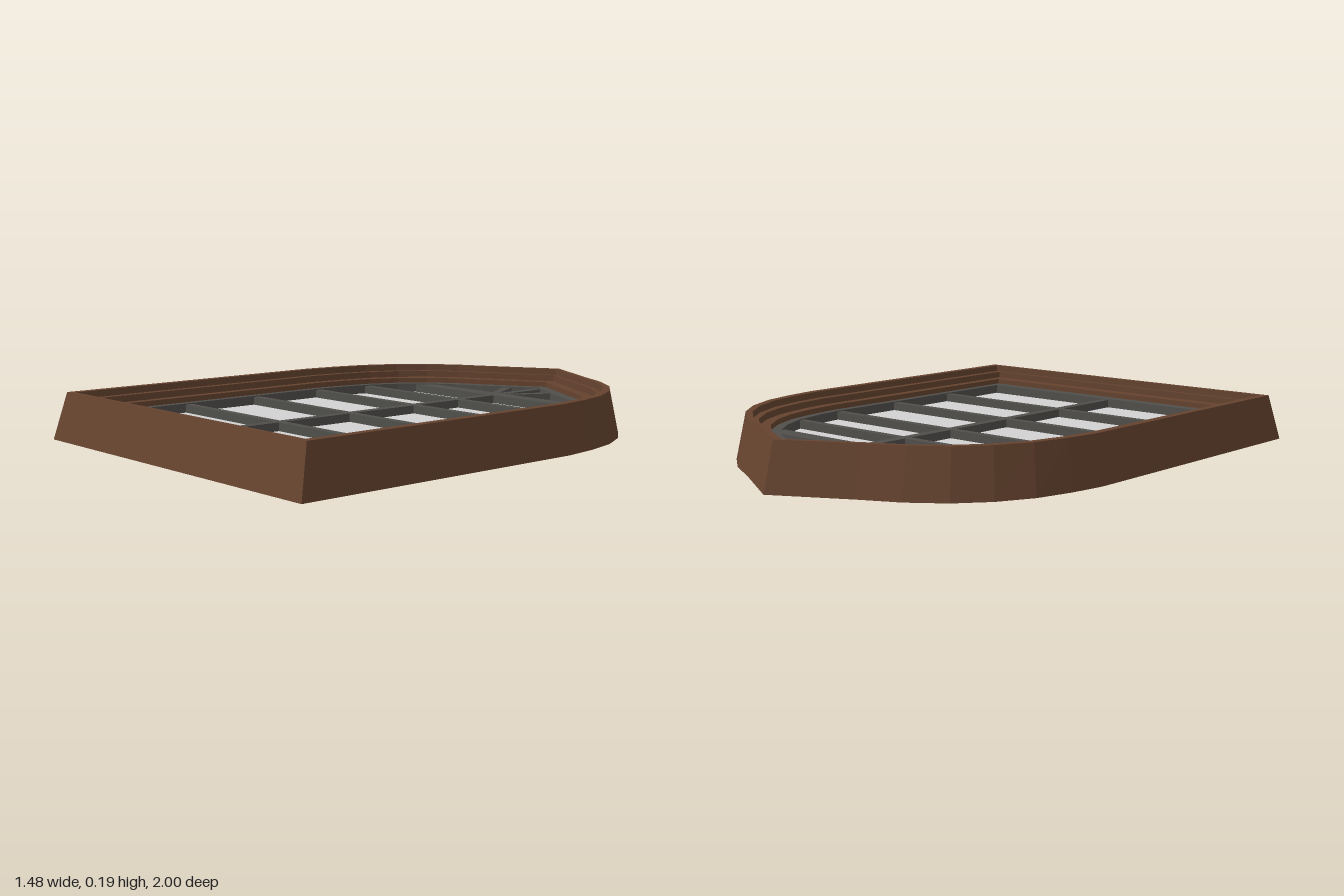
import * as THREE from 'three';

export function createModel() {
  const group = new THREE.Group();
  const material = (name, color) => {
    const m = new THREE.MeshStandardMaterial({ color });
    m.name = name;
    return m;
  };
  const wood = material('brown wood', 0x65432f);
  const metal = material('dark grey bars', 0x504f4b);
  const glass = material('pale glass', 0xd2d2d2);

  const add = (name, geometry, mat) => {
    const mesh = new THREE.Mesh(geometry, mat);
    mesh.name = name;
    group.add(mesh);
  };

  // Pointed arch plan as [x, z], from the tip down one side, then mirrored
  const half = [[0, -1], [0.27, -0.85], [0.41, -0.78], [0.53, -0.69], [0.62, -0.58],
    [0.685, -0.45], [0.72, -0.31], [0.74, -0.17], [0.74, 1]];
  const plan = [...half, ...half.slice(1).reverse().map(([x, z]) => [-x, z])];

  // Faceted bands joining scaled copies of the plan: each ring is [scaleX, scaleZ, y]
  function bands(rings) {
    const pos = [];
    const at = (ring, i) => {
      const [x, z] = plan[i % plan.length];
      return [x * ring[0], ring[2], z * ring[1]];
    };
    for (let r = 0; r < rings.length - 1; r++) {
      const [a, b] = [rings[r], rings[r + 1]];
      for (let i = 0; i < plan.length; i++) {
        if (a[0] > 0) pos.push(...at(a, i), ...at(b, i), ...at(a, i + 1));
        if (b[0] > 0) pos.push(...at(b, i), ...at(b, i + 1), ...at(a, i + 1));
      }
    }
    const g = new THREE.BufferGeometry();
    g.setAttribute('position', new THREE.Float32BufferAttribute(pos, 3));
    g.computeVertexNormals();
    return g;
  }

  // Wooden frame: back plate, sloping outside and stepped inside
  add('woodenFrame', bands([
    [0, 0, 0], [0.878, 0.918, 0], [0.878, 0.918, 0.015], [1, 1, 0.015],
    [0.959, 0.955, 0.19], [0.918, 0.935, 0.19], [0.918, 0.935, 0.165],
    [0.878, 0.918, 0.165], [0.878, 0.918, 0.14], [0.83, 0.87, 0.14], [0.83, 0.87, 0.12],
  ]), wood);

  // Grey sash inside the frame, and the pane below it
  const opening = [0.79, 0.825];
  add('sash', bands([[0.83, 0.87, 0.12], [...opening, 0.12], [...opening, 0.085]]), metal);
  add('glassPane', bands([[0.8, 0.835, 0.085], [0, 0, 0.085]]), glass);

  // Half width of the opening at a given z
  function halfWidth(z) {
    for (let i = 1; i < half.length; i++) {
      const [x0, z0] = half[i - 1], [x1, z1] = half[i];
      const t = (z / opening[1] - z0) / (z1 - z0);
      if (t >= 0 && t <= 1) return (x0 + (x1 - x0) * t) * opening[0];
    }
    return 0;
  }

  // Flat bar with the given [x, z] corners
  function slab(name, corners) {
    const shape = new THREE.Shape(corners.map(([x, z]) => new THREE.Vector2(x, -z)));
    const g = new THREE.ExtrudeGeometry(shape, { depth: 0.031, bevelEnabled: false });
    g.rotateX(-Math.PI / 2).translate(0, 0.085, 0);
    add(name, g, metal);
  }

  // Cross bars cut to the curve of the opening; the first is the wide transom
  const crossBars = [[-0.605, -0.54], [-0.375, -0.345], [-0.14, -0.11], [0.175, 0.205], [0.495, 0.525]];
  crossBars.forEach(([z0, z1], i) => {
    const w0 = halfWidth(z0) + 0.008, w1 = halfWidth(z1) + 0.008;
    slab(i ? 'crossBar' : 'transom', [[-w0, z0], [w0, z0], [w1, z1], [-w1, z1]]);
  });

  // Slightly leaning centre bar and the fan of bars in the tip
  slab('centreBar', [[-0.022, -0.58], [0.016, -0.58], [0, 0.83], [-0.032, 0.83]]);
  slab('tipBar', [[-0.02, -0.82], [0.018, -0.82], [0.018, -0.58], [-0.02, -0.58]]);
  for (const s of [-1, 1]) {
    slab('fanBar', [[s * 0.01, -0.59], [s * 0.1, -0.772], [s * 0.133, -0.752], [s * 0.042, -0.59]]);
  }
  return group;
}
